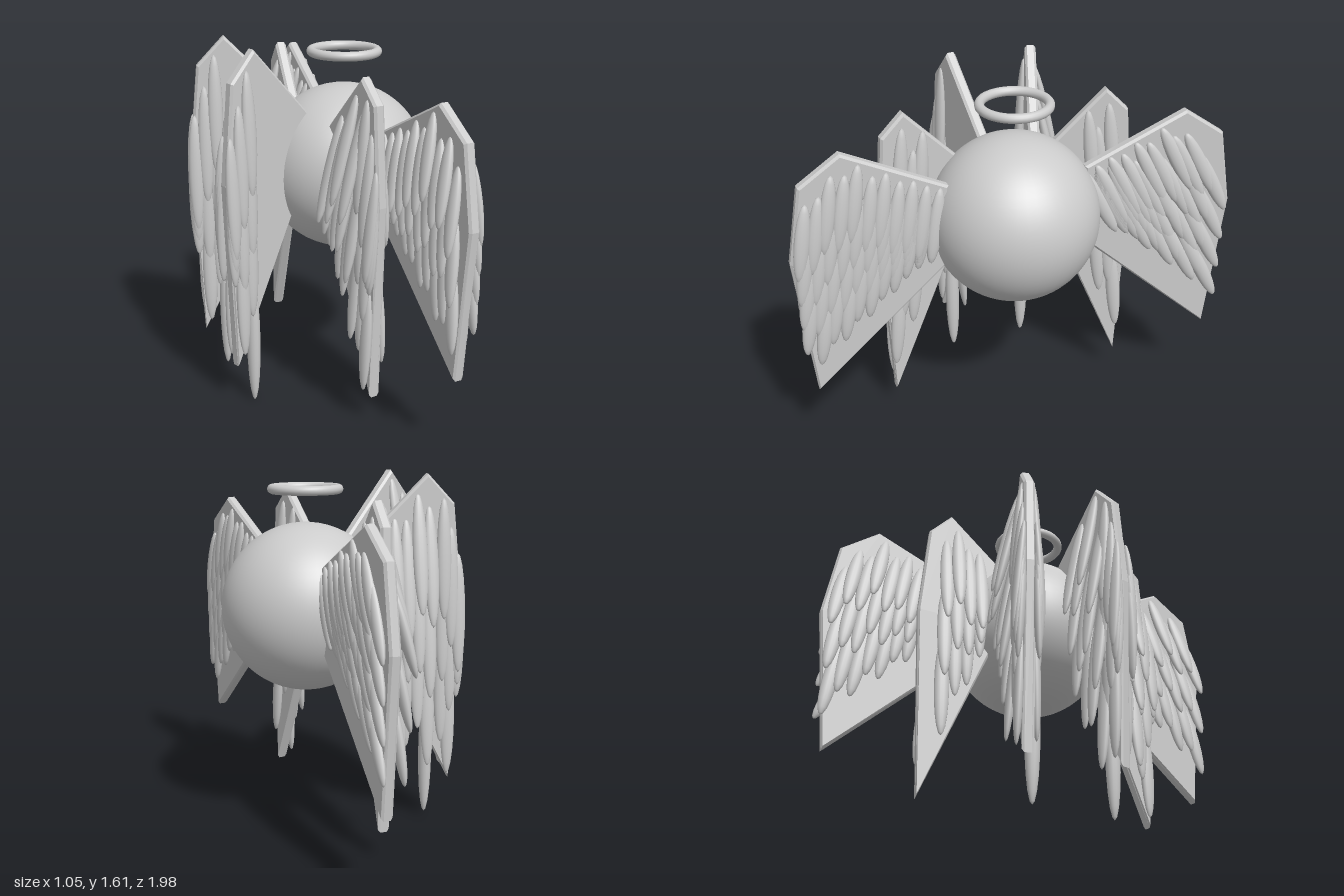
import * as THREE from 'three';

const { lerp } = THREE.MathUtils;
const material = new THREE.MeshStandardMaterial({ color: 0xcccccc });
const THICKNESS = 0.05;
const BEVEL = 0.01;
const FEATHER_SPACING = 0.062;
const featherGeometry = new THREE.SphereGeometry(1, 14, 10);

// Height of a polyline [[u, y], ...] at u
function heightAt(line, u) {
  const i = Math.max(1, line.findIndex(([end]) => u <= end));
  const [u0, y0] = line[i - 1], [u1, y1] = line[i];
  return lerp(y0, y1, (u - u0) / (u1 - u0));
}

// Wing edges from a few heights: u runs from 0 at the root to 1 at the tip
function makeEdges(rootTop, apex, corner, tip, rootBottom, point) {
  return {
    top: [[0, rootTop], [0.65, apex], [0.91, corner], [1, tip]],
    bottom: [[0, rootBottom], [0.91, point], [1, tip]],
  };
}

// Bevelled plate in the local XY plane
function makePlate({ top, bottom }, length) {
  const outline = [...bottom, ...top.slice(0, 3).reverse()]
    .map(([u, y]) => new THREE.Vector2(u * length, y));
  const geometry = new THREE.ExtrudeGeometry(new THREE.Shape(outline), {
    depth: THICKNESS - 2 * BEVEL, bevelEnabled: true, bevelSegments: 1,
    bevelSize: BEVEL, bevelThickness: BEVEL, bevelOffset: -BEVEL,
  });
  geometry.translate(0, 0, BEVEL - THICKNESS / 2);
  const plate = new THREE.Mesh(geometry, material);
  plate.name = 'wingPlate';
  return plate;
}

// Columns of overlapping feathers on one face, flaring out most in the top row
function makeFeathers({ top, bottom }, length,
  { side, from, to, half, flare, margin, rows = 3, tilt = 0 }) {
  const feathers = new THREE.Group();
  feathers.name = 'feathers';
  const gaps = Math.ceil((to - from) * length / FEATHER_SPACING);
  for (let c = 0; c <= gaps; c++) {
    const u = lerp(from, to, c / gaps);
    const high = heightAt(top, u) - 0.03 - half;
    const low = Math.min(high, heightAt(bottom, u) + margin + half);
    for (let r = 0; r < rows; r++) {
      const t = (r + (c % 2) * 0.3) / (rows - 0.7);
      const lift = flare * lerp(1, 0.4, t);
      const feather = new THREE.Mesh(featherGeometry, material);
      feather.name = 'feather';
      feather.scale.set(0.034, half, 0.022);
      feather.rotation.set(-side * lift, 0, tilt);
      feather.position.set(u * length, lerp(high, low, t),
        side * (THICKNESS / 2 + 0.004 + half * Math.sin(lift) * 0.85));
      feathers.add(feather);
    }
  }
  return feathers;
}

// Wing standing on the plan line from root to tip, both [x, z]
function makeWing(name, root, tip, edges, faces) {
  const wing = new THREE.Group();
  wing.name = name;
  const dx = tip[0] - root[0], dz = tip[1] - root[1];
  const length = Math.hypot(dx, dz);
  wing.position.set(root[0], 0, root[1]);
  wing.rotation.y = Math.atan2(-dz, dx);
  wing.add(makePlate(edges, length));
  for (const face of faces) wing.add(makeFeathers(edges, length, face));
  return wing;
}

// Front wings: dense slanted feathers ahead, flared ones behind
function makeFrontWing(name, mirror, tilt, to) {
  return makeWing(name, [0.177, 0.305 * mirror], [0.223, 0.99 * mirror],
    makeEdges(1.24, 1.46, 1.34, 1, 0.88, 0.34), [
      { side: -mirror, from: 0.1, to, half: 0.175, tilt, flare: 0.05, margin: 0.1, rows: 4 },
      { side: mirror, from: 0.13, to: 0.9, half: 0.18, tilt: 0.17, flare: 0.24, margin: 0.13 },
    ]);
}

// Middle wings: sparse feathers ahead, flared ones behind
function makeMiddleWing(name, mirror) {
  return makeWing(name, [-0.015, 0.2 * mirror], [0.035, 0.59 * mirror],
    makeEdges(1.26, 1.52, 1.42, 1, 0.95, 0.12), [
      { side: -mirror, from: 0.5, to: 0.85, half: 0.22, tilt: 0.1, flare: 0.04, margin: 0.1, rows: 2 },
      { side: mirror, from: 0.3, to: 0.7, half: 0.24, flare: 0.26, margin: 0.07 },
    ]);
}

// Back wings: feathers flare from the rear face and wrap the outer edge
function makeBackWing(name, root, tip, from) {
  return makeWing(name, root, tip, makeEdges(1.3, 1.61, 1.48, 1.05, 1.05, 0.2), [
    { side: 1, from, to: from + 0.33, half: 0.27, flare: 0.22, margin: -0.15 },
    { side: 1, from: 0.8, to: 0.95, half: 0.27, flare: 0.08, margin: 0 },
    { side: -1, from: 0.75, to: 0.95, half: 0.27, flare: 0.05, margin: 0 },
  ]);
}

// Long tail feather hanging below a back wing
function makeTailFeather(y, z) {
  const tail = new THREE.Mesh(featherGeometry, material);
  tail.name = 'tailFeather';
  tail.scale.set(0.03, 0.3, 0.034);
  tail.position.set(-0.38, y, z);
  return tail;
}

export function createModel() {
  const model = new THREE.Group();
  model.name = 'wingedSphere';

  const body = new THREE.Mesh(new THREE.SphereGeometry(0.377, 48, 32), material);
  body.name = 'body';
  body.position.set(0.139, 1.02, 0);

  const halo = new THREE.Mesh(new THREE.TorusGeometry(0.147, 0.021, 14, 48), material);
  halo.name = 'halo';
  halo.rotation.x = Math.PI / 2;
  halo.position.set(0.137, 1.543, 0);

  model.add(body, halo);
  model.add(makeFrontWing('leftFrontWing', 1, 0.17, 0.92));
  model.add(makeFrontWing('rightFrontWing', -1, 0.48, 0.85));
  const leftMiddle = makeMiddleWing('leftMiddleWing', 1);
  // The left middle wing also carries flat feathers along its outer edge
  leftMiddle.add(makeFeathers(makeEdges(1.26, 1.52, 1.42, 1, 0.95, 0.12), 0.39,
    { side: 1, from: 0.78, to: 0.96, half: 0.24, flare: 0.1, margin: 0 }));
  model.add(leftMiddle, makeMiddleWing('rightMiddleWing', -1));
  model.add(makeBackWing('leftBackWing', [-0.08, 0.07], [-0.51, 0.187], 0.43));
  model.add(makeBackWing('rightBackWing', [-0.05, -0.15], [-0.51, -0.267], 0.33));
  model.add(makeTailFeather(0.3, 0.165), makeTailFeather(0.32, -0.2));
  return model;
}
